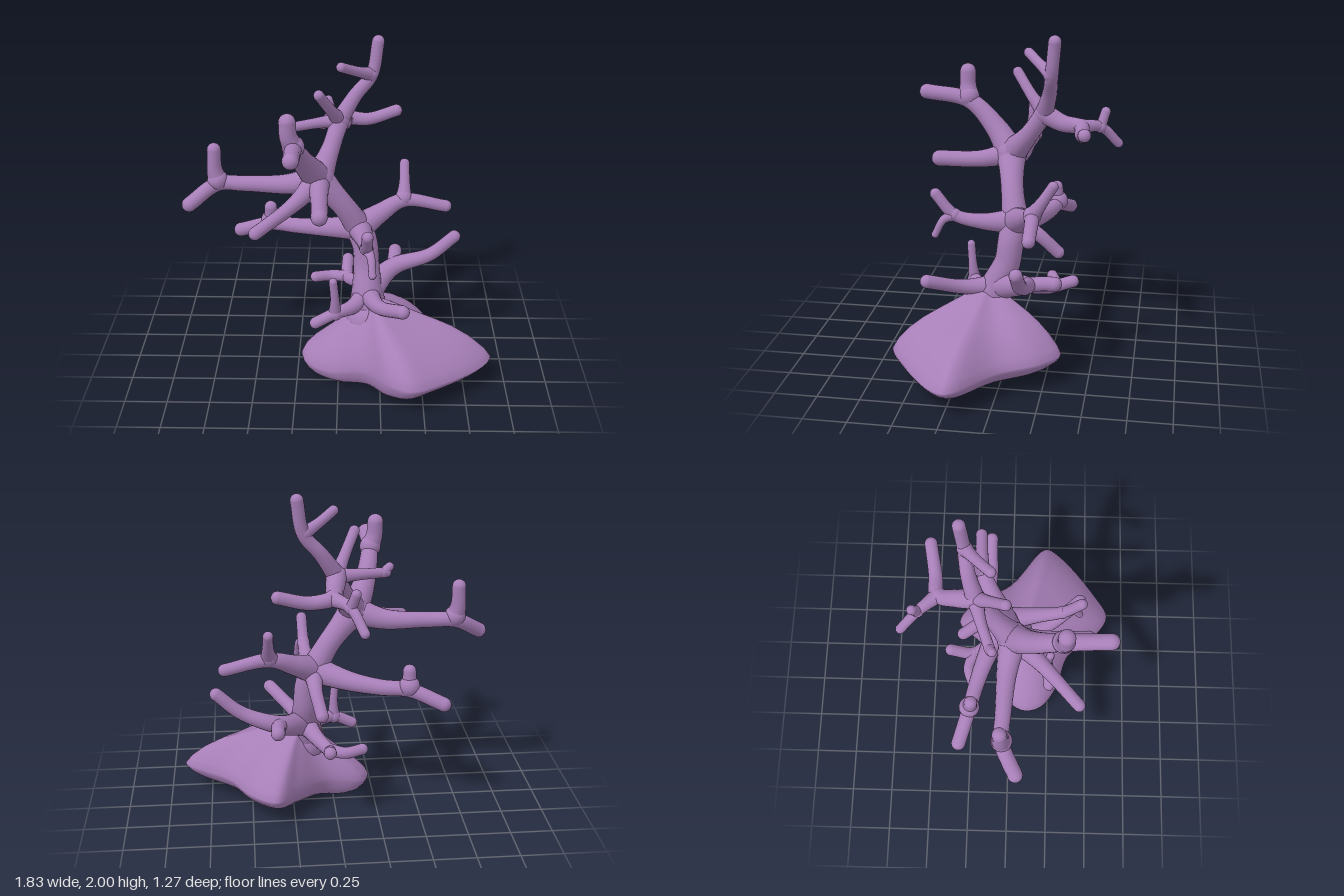
import * as THREE from 'three';
import { mergeGeometries, mergeVertices } from 'three/addons/utils/BufferGeometryUtils.js';

const material = new THREE.MeshStandardMaterial({ color: 0xa77fb8, side: THREE.DoubleSide });
const V = (p) => new THREE.Vector3(...p);

// Rounded limb along a smooth path: domed ends, flared at the root (and at the end where it meets a junction)
function limb(name, rootRadius, radius, points, falloff = 4, endRadius = radius) {
  const curve = new THREE.CatmullRomCurve3(points.map(V), false, 'centripetal');
  const steps = 12 + points.length * 8, sides = 16;
  const tube = new THREE.TubeGeometry(curve, steps, 1, sides, false);
  const pos = tube.attributes.position;
  const p = new THREE.Vector3();
  for (let i = 0; i <= steps; i++) {
    const t = i / steps;
    const center = curve.getPointAt(t);
    const r = radius + (rootRadius - radius) * (1 - t) ** falloff + (endRadius - radius) * t ** falloff;
    for (let j = 0; j <= sides; j++) {
      const k = i * (sides + 1) + j;
      p.fromBufferAttribute(pos, k).sub(center).multiplyScalar(r).add(center);
      pos.setXYZ(k, p.x, p.y, p.z);
    }
  }
  const dome = (r, at) => new THREE.SphereGeometry(r, 16, 12).translate(...at);
  const mesh = new THREE.Mesh(
    mergeGeometries([tube, dome(rootRadius, points[0]), dome(endRadius, points[points.length - 1])]),
    material,
  );
  mesh.name = name;
  return mesh;
}

// Irregular rock: an outline of [x, rim height, z], shrunk ring by ring towards a peak and a flat underside
function rock() {
  const outline = new THREE.CatmullRomCurve3([
    [0.91, 0.17, 0.22], [0.86, 0.16, 0.32], [0.58, 0.17, 0.55], [0.42, 0.18, 0.635], [0.30, 0.18, 0.57],
    [0.15, 0.15, 0.38], [-0.05, 0.10, 0.31], [-0.19, 0.10, 0.21], [-0.225, 0.11, 0.10], [-0.17, 0.12, 0.0],
    [0.05, 0.16, -0.04], [0.23, 0.18, -0.21], [0.36, 0.18, -0.345], [0.51, 0.18, -0.24], [0.64, 0.17, -0.01],
  ].map(V), true, 'centripetal');
  const around = 90;
  const rim = Array.from({ length: around }, (_, i) => outline.getPoint(i / around));
  const peak = V([0.18, 0.5, 0.1]);
  // [scale, height fraction from rim to peak], then the underside as [scale, fraction from rim to floor]
  const upper = [[0, 1], [0.12, 0.97], [0.25, 0.89], [0.4, 0.77], [0.55, 0.64], [0.7, 0.49], [0.84, 0.32], [0.95, 0.14], [1, 0]];
  const lower = [[0.99, 0.2], [0.96, 0.45], [0.9, 0.72], [0.81, 0.9], [0.68, 1], [0.4, 1], [0, 1]];
  const verts = [], index = [];
  for (const [s, f] of upper) {
    for (const q of rim) {
      const x = peak.x + (q.x - peak.x) * s, z = peak.z + (q.z - peak.z) * s;
      // Shallow swellings, and a sagging slope on the narrow side
      const sag = 0.28 * Math.max(0, (peak.x - q.x) / 0.4);
      const bump = s * (1 - s) * (0.05 * Math.sin(9 * x + 1) * Math.cos(9 * z - 2) - sag);
      verts.push(x, q.y + (peak.y - q.y) * f + bump, z);
    }
  }
  for (const [s, f] of lower) {
    for (const q of rim) {
      const x = 0.25 + (q.x - 0.25) * s, z = 0.18 + (q.z - 0.18) * s;
      const floor = 0.002 + 0.09 * Math.max(0, x + 0.02) + 0.2 * (z - 0.2) ** 2;
      verts.push(x, q.y + (floor - q.y) * f, z);
    }
  }
  const rings = upper.length + lower.length;
  for (let i = 0; i < rings - 1; i++) {
    for (let j = 0; j < around; j++) {
      const a = i * around + j, b = i * around + (j + 1) % around;
      index.push(a, b, a + around, b, b + around, a + around);
    }
  }
  let geo = new THREE.BufferGeometry();
  geo.setAttribute('position', new THREE.Float32BufferAttribute(verts, 3));
  geo.setIndex(index);
  geo = mergeVertices(geo, 1e-5);
  geo.computeVertexNormals();
  const mesh = new THREE.Mesh(geo, material);
  mesh.name = 'rockBase';
  return mesh;
}

export function createModel() {
  const group = new THREE.Group();
  group.name = 'branchingCoral';

  // Main junctions
  const foot = [0.17, 0.5, 0.06];
  const low = [0.12, 0.89, -0.04];
  const mid = [-0.12, 1.23, 0.02];
  const high = [0.0, 1.51, -0.19];

  group.add(rock());

  // Trunk from rock to top tip
  group.add(
    limb('trunkFoot', 0.14, 0.07, [[0.18, 0.35, 0.1], foot, [0.165, 0.65, 0.0], [0.155, 0.78, -0.02], low], 3, 0.085),
    limb('trunkMiddle', 0.085, 0.06, [low, [0.03, 1.04, -0.01], mid], 3, 0.095),
    limb('trunkUpper', 0.095, 0.045, [mid, [-0.055, 1.36, -0.09], high], 2.5, 0.058),
    limb('topBranch', 0.055, 0.037, [high, [0.09, 1.65, -0.23], [0.185, 1.77, -0.25], [0.22, 1.963, -0.27]], 3),
  );

  // Upper crown
  const crownFork = [0.04, 1.45, -0.4];
  const backFork = [-0.05, 1.43, -0.51];
  group.add(
    limb('topTwig', 0.044, 0.029, [[0.18, 1.775, -0.245], [0.1, 1.81, -0.18], [0.01, 1.86, -0.1]]),
    limb('crownUpTwig', 0.055, 0.031, [high, [-0.05, 1.6, -0.11], [-0.115, 1.72, -0.02]]),
    limb('crownSideTwig', 0.055, 0.03, [high, [-0.12, 1.505, -0.16], [-0.29, 1.495, -0.1]]),
    limb('crownSideTwigTip', 0.03, 0.026, [[-0.27, 1.495, -0.11], [-0.31, 1.525, -0.09]]),
    limb('crownBackBranch', 0.06, 0.037, [high, [0.02, 1.46, -0.3], crownFork, [0.17, 1.435, -0.42], [0.338, 1.48, -0.45]], 2),
    limb('crownRearBranch', 0.047, 0.028, [crownFork, backFork, [-0.115, 1.32, -0.61]], 3),
    limb('crownRearTwig', 0.036, 0.028, [backFork, [-0.075, 1.515, -0.535]]),
  );

  // Middle whorl
  const armFork = [-0.71, 1.17, -0.03];
  const upFork = [-0.24, 1.51, 0.29];
  group.add(
    limb('longArm', 0.085, 0.044, [mid, [-0.3, 1.18, -0.01], [-0.55, 1.175, -0.025], armFork, [-0.872, 1.072, 0.05]], 3.5),
    limb('longArmTwig', 0.062, 0.041, [[-0.71, 1.195, -0.03], [-0.725, 1.26, -0.035], [-0.725, 1.38, -0.04]], 3),
    limb('frontRisingBranch', 0.09, 0.046, [mid, [-0.19, 1.36, 0.12], upFork, [-0.245, 1.555, 0.55]], 2.5),
    limb('frontRisingTwig', 0.064, 0.048, [[-0.245, 1.535, 0.295], [-0.27, 1.6, 0.305], [-0.275, 1.68, 0.305]], 3),
    limb('forwardBranch', 0.08, 0.048, [mid, [-0.11, 1.19, 0.2], [-0.1, 1.185, 0.45]]),
    limb('slantingBranch', 0.08, 0.037, [mid, [-0.24, 1.15, 0.18], [-0.458, 1.06, 0.405]], 3),
  );

  // Lower whorl
  const sideFork = [-0.42, 0.82, -0.23];
  const leftFork = [0.385, 1.01, -0.17];
  const frontFork = [0.16, 0.925, 0.31];
  group.add(
    limb('lowerArm', 0.085, 0.043, [low, [-0.08, 0.845, -0.13], [-0.26, 0.825, -0.19], sideFork, [-0.615, 0.747, -0.29]], 3),
    limb('lowerArmTwig', 0.062, 0.039, [[-0.42, 0.845, -0.23], [-0.42, 0.88, -0.225], [-0.42, 0.935, -0.22]], 3),
    limb('leftBranch', 0.088, 0.037, [low, [0.24, 0.95, -0.11], leftFork, [0.64, 0.965, -0.19]], 2.5),
    limb('leftBranchTwig', 0.052, 0.03, [[0.385, 1.025, -0.175], [0.39, 1.09, -0.22], [0.39, 1.2, -0.29]], 3),
    limb('frontBranch', 0.08, 0.033, [low, [0.15, 0.89, 0.15], frontFork, [0.165, 1.05, 0.42]], 2.5),
    limb('frontBranchTwig', 0.04, 0.022, [frontFork, [0.185, 0.9, 0.37], [0.195, 0.81, 0.42]]),
    limb('backStub', 0.085, 0.038, [low, [0.12, 0.82, -0.17], [0.09, 0.7, -0.29]]),
  );

  // Short branches around the foot
  const footFork = [0.33, 0.58, -0.13];
  const smallFork = [-0.02, 0.455, 0.23];
  const hookFork = [0.05, 0.455, -0.23];
  group.add(
    limb('footLeftBranch', 0.085, 0.038, [foot, footFork, [0.55, 0.665, -0.13], [0.695, 0.79, -0.13]], 2),
    limb('footLeftTwig', 0.052, 0.042, [footFork, [0.34, 0.6, -0.22], [0.345, 0.605, -0.3]]),
    limb('footFrontBranch', 0.08, 0.04, [foot, [0.24, 0.51, 0.25], [0.37, 0.585, 0.435]]),
    limb('footSideBranch', 0.075, 0.035, [foot, [0.08, 0.465, 0.17], smallFork, [-0.135, 0.4, 0.25]], 3),
    limb('footSideTwig', 0.044, 0.025, [smallFork, [-0.02, 0.55, 0.24], [-0.03, 0.675, 0.25]]),
    limb('footBackBranch', 0.075, 0.037, [foot, [0.11, 0.48, -0.12], hookFork, [0.05, 0.505, -0.375]], 3),
    limb('footBackTwig', 0.04, 0.034, [hookFork, [-0.05, 0.445, -0.26], [-0.15, 0.45, -0.23]]),
  );
  return group;
}
